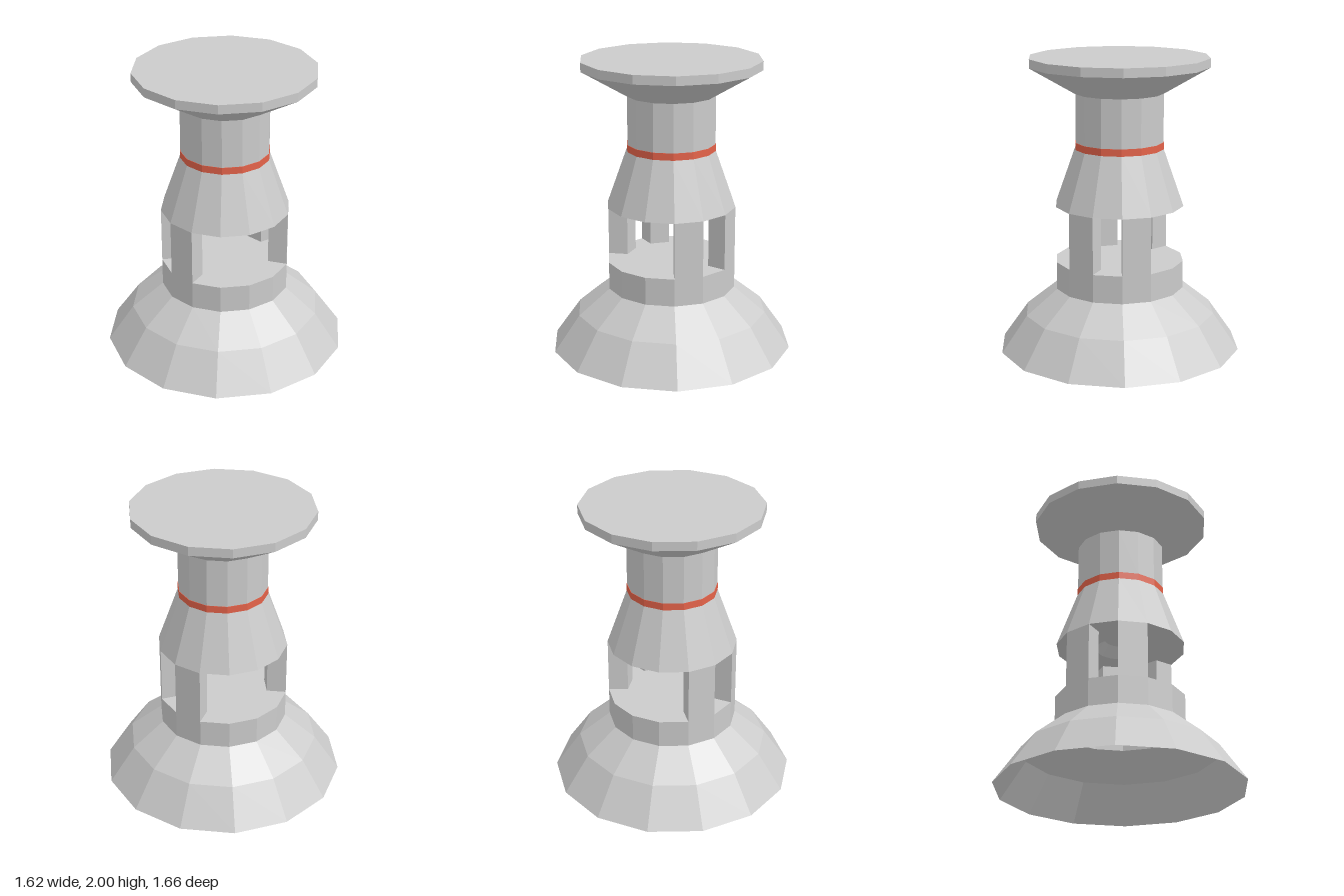
import * as THREE from 'three';

const SIDES = 14;
const STEP = (Math.PI * 2) / SIDES;

function material(color = 0xcccccc) {
  return new THREE.MeshStandardMaterial({ color, flatShading: true, side: THREE.DoubleSide });
}

// Faceted turned part from [radius, height] pairs, listed bottom to top
function turned(name, profile, mat) {
  const points = profile.map(([r, y]) => new THREE.Vector2(r, y));
  const mesh = new THREE.Mesh(new THREE.LatheGeometry(points, SIDES), mat);
  mesh.name = name;
  return mesh;
}

// Upright filling one facet of the ring between two radii
function pillar(facet, inner, outer, y0, y1, mat) {
  const corner = (r, k) => new THREE.Vector2(r * Math.sin(k * STEP), -r * Math.cos(k * STEP));
  const shape = new THREE.Shape([
    corner(inner, facet), corner(outer, facet),
    corner(outer, facet + 1), corner(inner, facet + 1),
  ]);
  const geometry = new THREE.ExtrudeGeometry(shape, { depth: y1 - y0, bevelEnabled: false });
  geometry.rotateX(-Math.PI / 2).translate(0, y0, 0);
  const mesh = new THREE.Mesh(geometry, mat);
  mesh.name = 'pillar';
  return mesh;
}

export function createModel() {
  const model = new THREE.Group();
  model.name = 'tower';
  const grey = material();

  // Flared base, hollow underneath, closed by the chamber floor
  model.add(turned('base', [[0.83, 0], [0.655, 0.25], [0.44, 0.425], [0.44, 0.615], [0, 0.615]], grey));

  // Pillars around the open chamber, the same on opposite sides
  const pillars = new THREE.Group();
  pillars.name = 'pillars';
  for (const facet of [1, 3, 8, 10]) pillars.add(pillar(facet, 0.308, 0.44, 0.615, 1.0, grey));
  model.add(pillars);

  // Tapered shoulder with a recess in the chamber ceiling
  model.add(turned('shoulder', [[0, 1.07], [0.11, 1.07], [0.168, 1.0], [0.44, 1.0], [0.303, 1.385]], grey));

  // Coloured band
  model.add(turned('band', [[0.303, 1.385], [0.303, 1.433], [0.3, 1.433]], material(0xe5634a)));

  // Neck and the wide flat top
  model.add(turned('neck', [[0.3, 1.433], [0.3, 1.76]], grey));
  model.add(turned('top', [[0.3, 1.76], [0.608, 1.94], [0.608, 2.0], [0, 2.0]], grey));

  return model;
}
